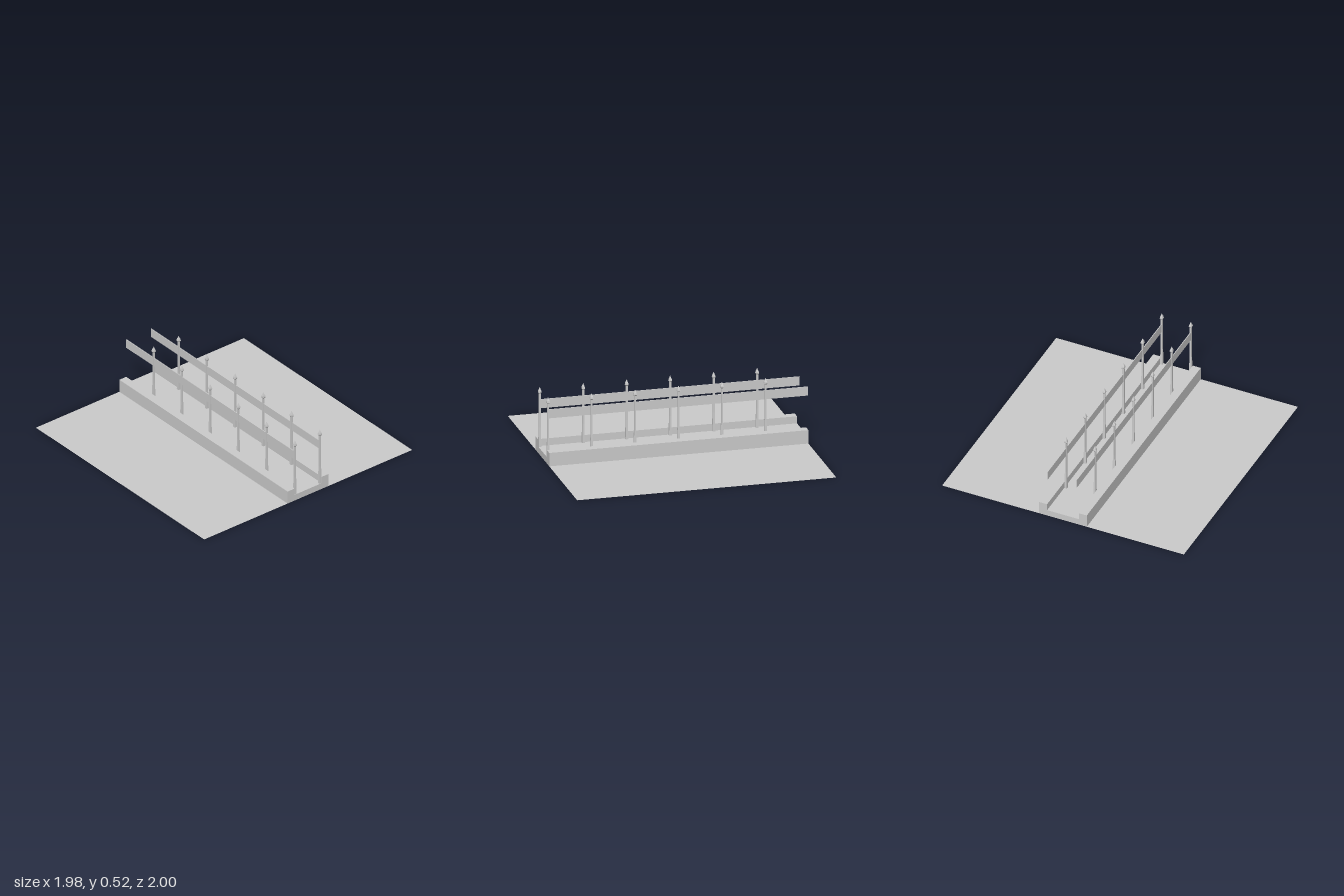
import * as THREE from 'three';

const material = new THREE.MeshStandardMaterial({ color: 0xcccccc, flatShading: true, side: THREE.DoubleSide });

const Z_FRONT = 1, Z_BACK = -0.985;

function part(name, geometry, parent) {
  const mesh = new THREE.Mesh(geometry, material);
  mesh.name = name;
  parent.add(mesh);
  return mesh;
}

// Sheet following an [x, y] profile, swept from back to front
function sweep(profile) {
  const pos = [];
  for (let i = 0; i < profile.length - 1; i++) {
    const [ax, ay] = profile[i], [bx, by] = profile[i + 1];
    pos.push(ax, ay, Z_FRONT, bx, by, Z_FRONT, bx, by, Z_BACK);
    pos.push(ax, ay, Z_FRONT, bx, by, Z_BACK, ax, ay, Z_BACK);
  }
  const g = new THREE.BufferGeometry();
  g.setAttribute('position', new THREE.Float32BufferAttribute(pos, 3));
  g.computeVertexNormals();
  return g;
}

export function createModel() {
  const group = new THREE.Group();
  group.name = 'fencedWalkway';

  // Flat ground on both sides of the walkway
  part('groundRight', sweep([[-0.99, 0], [-0.197, 0]]), group);
  part('groundLeft', sweep([[0.192, 0], [0.985, 0]]), group);

  // Hollow walkway with raised curbs, open underneath
  const section = [
    [-0.197, 0], [-0.197, 0.105], [-0.132, 0.105], [-0.132, 0.05],
    [0.127, 0.05], [0.127, 0.105], [0.192, 0.105], [0.192, 0],
  ];
  part('walkway', sweep(section), group);
  const endShape = new THREE.Shape(section.map(([x, y]) => new THREE.Vector2(x, y)));
  part('walkwayFrontEnd', new THREE.ShapeGeometry(endShape), group).position.z = Z_FRONT;
  const backEnd = part('walkwayBackEnd', new THREE.ShapeGeometry(endShape), group);
  backEnd.position.z = Z_BACK;

  // Square post with a flared foot and a spear tip: [half width, y]
  const postProfile = [
    [0.010, 0.05], [0.009, 0.12], [0.007, 0.2], [0.007, 0.467],
    [0.012, 0.475], [0.010, 0.488], [0.004, 0.505], [0, 0.517],
  ].map(([w, y]) => new THREE.Vector2(w * Math.SQRT2, y));
  const postGeometry = new THREE.LatheGeometry(postProfile, 4, Math.PI / 4);

  // A row of posts and one rail along each curb
  for (const [side, x] of [['left', 0.117], ['right', -0.12]]) {
    const fence = new THREE.Group();
    fence.name = side + 'Fence';
    fence.position.x = x;
    group.add(fence);
    for (let i = 0; i < 6; i++) {
      part('post', postGeometry, fence).position.z = 0.989 - i * 0.333;
    }
    part('rail', new THREE.BoxGeometry(0.006, 0.07, 1.985), fence).position.set(0, 0.385, -0.0075);
  }
  return group;
}
